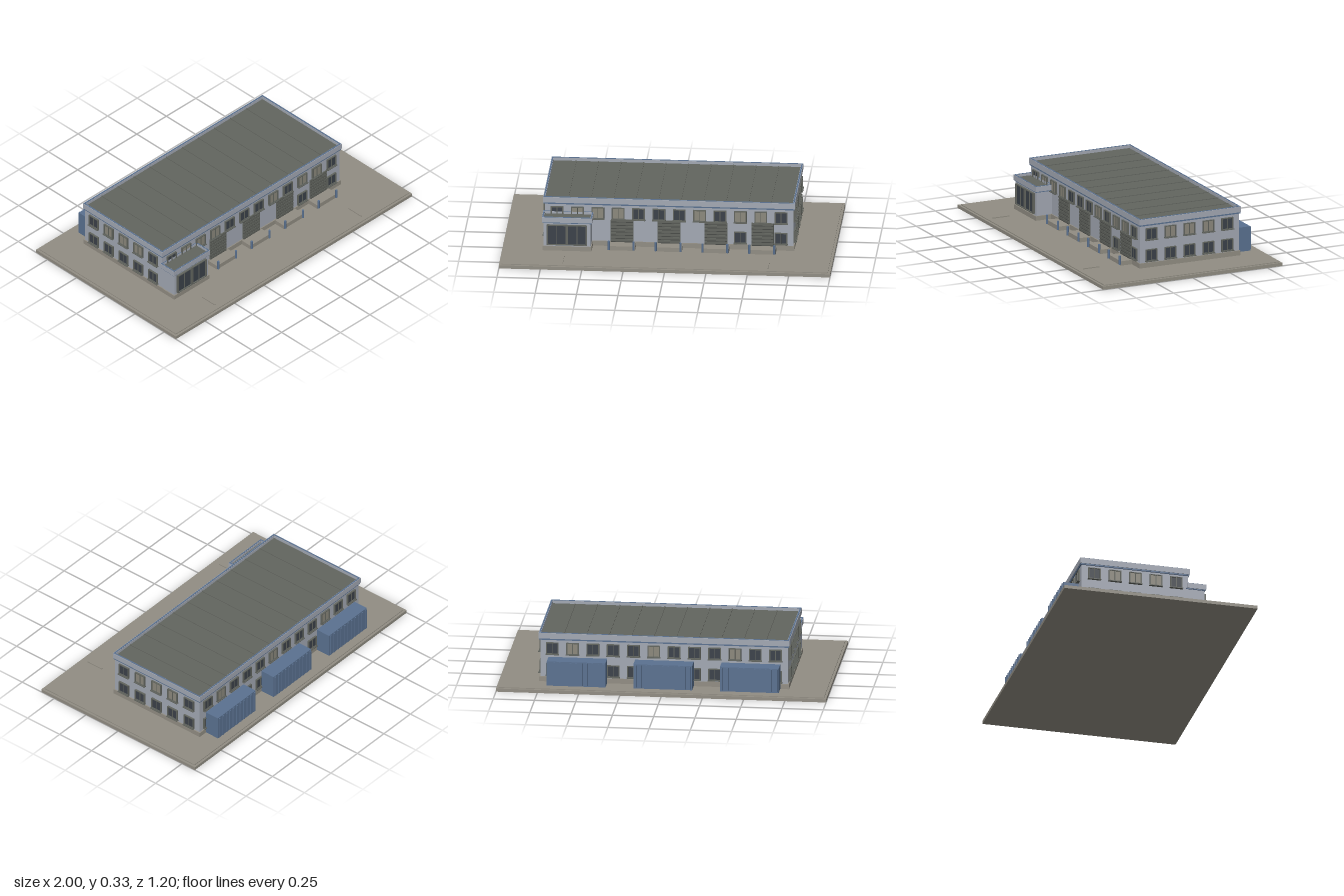
import * as THREE from 'three';

const mat = (name, color) => {
  const m = new THREE.MeshStandardMaterial({ color });
  m.name = name;
  return m;
};

export function createModel() {
  const wall = mat('wall grey', 0xa2a8b3);
  const concrete = mat('concrete', 0x918d83);
  const roofGrey = mat('roof grey', 0x62655f);
  const seamGrey = mat('seam grey', 0x484a47);
  const blue = mat('steel blue', 0x5a7190);
  const glass = mat('dark glass', 0x3b4149);
  const litGlass = mat('pale glass', 0x8b887c);

  const model = new THREE.Group();
  model.name = 'warehouse';

  const group = (name, parent = model) => {
    const g = new THREE.Group();
    g.name = name;
    parent.add(g);
    return g;
  };
  // Box given by its minimum and maximum along each axis
  const box = (parent, name, m, x0, x1, y0, y1, z0, z1) => {
    const mesh = new THREE.Mesh(new THREE.BoxGeometry(x1 - x0, y1 - y0, z1 - z0), m);
    mesh.position.set((x0 + x1) / 2, (y0 + y1) / 2, (z0 + z1) / 2);
    mesh.name = name;
    parent.add(mesh);
    return mesh;
  };
  // Rectangular rim, open in the middle
  const rim = (parent, name, m, x0, x1, y0, y1, z0, z1, t) => {
    const rect = (P, d) => new P([
      new THREE.Vector2(x0 + d, -z1 + d), new THREE.Vector2(x1 - d, -z1 + d),
      new THREE.Vector2(x1 - d, -z0 - d), new THREE.Vector2(x0 + d, -z0 - d)]);
    const s = rect(THREE.Shape, 0);
    s.holes.push(rect(THREE.Path, t));
    const geo = new THREE.ExtrudeGeometry(s, { depth: y1 - y0, bevelEnabled: false });
    geo.rotateX(-Math.PI / 2);
    const mesh = new THREE.Mesh(geo, m);
    mesh.position.y = y0;
    mesh.name = name;
    parent.add(mesh);
  };

  // Ground slab with a slightly inset top
  box(model, 'groundSlab', concrete, -1, 1, 0, 0.02, -0.6, 0.6);
  box(model, 'groundPad', concrete, -0.985, 0.985, 0.02, 0.025, -0.585, 0.585);
  for (const x of [-0.62, 0.62]) {
    box(model, 'parkingMark', concrete, x - 0.003, x + 0.003, 0.025, 0.031, 0.44, 0.55);
  }

  // Main hall
  const hall = group('hall');
  box(hall, 'plinth', concrete, -0.757, 0.757, 0.025, 0.055, -0.437, 0.237);
  box(hall, 'walls', wall, -0.75, 0.75, 0.055, 0.287, -0.43, 0.23);
  box(hall, 'blueBand', blue, -0.757, 0.757, 0.286, 0.296, -0.437, 0.237);
  rim(hall, 'parapet', wall, -0.76, 0.76, 0.295, 0.33, -0.44, 0.24, 0.013);
  rim(hall, 'parapetCap', blue, -0.757, 0.757, 0.328, 0.332, -0.437, 0.237, 0.008);
  box(hall, 'roof', roofGrey, -0.748, 0.748, 0.295, 0.312, -0.428, 0.228);
  for (let i = 1; i < 11; i++) {
    const x = -0.748 + i * 0.136;
    box(hall, 'roofSeam', roofGrey, x - 0.003, x + 0.003, 0.312, 0.316, -0.427, 0.227);
  }

  // Framed window facing +z with its centre at the origin
  const makeWindow = (pane) => {
    const w = new THREE.Group();
    w.name = 'window';
    box(w, 'pane', pane, -0.034, 0.034, -0.033, 0.033, -0.002, 0.005);
    for (const s of [-1, 1]) {
      box(w, 'frameSide', roofGrey, s * 0.035 - 0.0035, s * 0.035 + 0.0035, -0.036, 0.036, 0, 0.011);
      box(w, 'frameRail', roofGrey, -0.037, 0.037, s * 0.034 - 0.0025, s * 0.034 + 0.0025, 0, 0.011);
    }
    box(w, 'mullion', roofGrey, -0.002, 0.002, -0.033, 0.033, 0, 0.009);
    box(w, 'sill', roofGrey, -0.041, 0.041, -0.04, -0.035, 0, 0.017);
    return w;
  };
  const windows = group('windows');
  const addWindow = (x, y, z, turn, lit) => {
    const w = makeWindow(lit ? litGlass : glass);
    w.position.set(x, y, z);
    w.rotation.y = turn;
    windows.add(w);
  };
  const upper = 0.234, lower = 0.101;
  for (let i = 0; i < 12; i++) {
    const x = -0.676 + i * 0.123;
    addWindow(x, upper, 0.23, 0, [1, 2, 3, 7, 9, 10].includes(i));
    addWindow(x, upper, -0.43, Math.PI, i % 4 === 2);
    addWindow(x, lower, -0.43, Math.PI, false);
  }
  for (const x of [0.43, 0.676]) addWindow(x, lower, 0.23, 0, false);
  for (let i = 0; i < 5; i++) {
    const z = 0.157 - i * 0.127;
    for (const s of [-1, 1]) {
      addWindow(s * 0.75, upper, z, s * Math.PI / 2, i > 0 && i < 4);
      addWindow(s * 0.75, lower, z, s * Math.PI / 2, false);
    }
  }

  // Loading docks: slatted door, platform and two bollards
  for (let i = 0; i < 4; i++) {
    const dock = group('loadingDock');
    dock.position.x = -0.283 + i * 0.283;
    box(dock, 'door', roofGrey, -0.069, 0.069, 0.05, 0.192, 0.225, 0.237);
    for (let j = 0; j < 7; j++) {
      const y = 0.058 + j * 0.021;
      box(dock, 'doorSlat', roofGrey, -0.067, 0.067, y, y + 0.015, 0.235, 0.242);
      box(dock, 'doorGap', seamGrey, -0.067, 0.067, y - 0.006, y, 0.235, 0.239);
    }
    box(dock, 'platform', concrete, -0.083, 0.083, 0.025, 0.052, 0.23, 0.31);
    for (const s of [-1, 1]) {
      const post = new THREE.Mesh(new THREE.CylinderGeometry(0.007, 0.007, 0.055, 12), blue);
      post.name = 'bollard';
      post.position.set(s * 0.075, 0.058, 0.314);
      dock.add(post);
    }
  }

  // Entrance block with glazed front
  const entry = group('entrance');
  box(entry, 'entrancePlinth', concrete, -0.757, -0.46, 0.025, 0.053, 0.22, 0.34);
  box(entry, 'entranceWalls', wall, -0.75, -0.466, 0.053, 0.205, 0.22, 0.333);
  box(entry, 'entranceBand', blue, -0.756, -0.46, 0.2, 0.207, 0.22, 0.338);
  rim(entry, 'entranceParapet', wall, -0.76, -0.456, 0.206, 0.238, 0.225, 0.342, 0.011);
  rim(entry, 'entranceCap', blue, -0.758, -0.458, 0.236, 0.24, 0.227, 0.34, 0.007);
  box(entry, 'entranceRoof', roofGrey, -0.75, -0.466, 0.206, 0.224, 0.23, 0.332);
  for (const x of [-0.67, -0.548]) {
    box(entry, 'entranceGlass', glass, x - 0.056, x + 0.056, 0.064, 0.188, 0.331, 0.338);
    for (const d of [-0.057, 0.057]) {
      box(entry, 'entrancePost', roofGrey, x + d - 0.004, x + d + 0.004, 0.062, 0.19, 0.33, 0.347);
    }
    box(entry, 'entranceMullion', roofGrey, x - 0.002, x + 0.002, 0.064, 0.188, 0.33, 0.342);
    for (const y of [0.062, 0.186]) {
      box(entry, 'entranceRail', roofGrey, x - 0.06, x + 0.06, y, y + 0.005, 0.33, 0.347);
    }
  }

  // Ribbed containers along the back wall
  for (const x of [-0.527, -0.003, 0.522]) {
    const container = group('container');
    container.position.x = x;
    box(container, 'containerBody', blue, -0.178, 0.178, 0.028, 0.18, -0.532, -0.437);
    for (let i = 0; i < 11; i++) {
      const rx = -0.165 + i * 0.033;
      box(container, 'containerRib', blue, rx - 0.005, rx + 0.005, 0.034, 0.175, -0.539, -0.53);
    }
  }
  return model;
}
